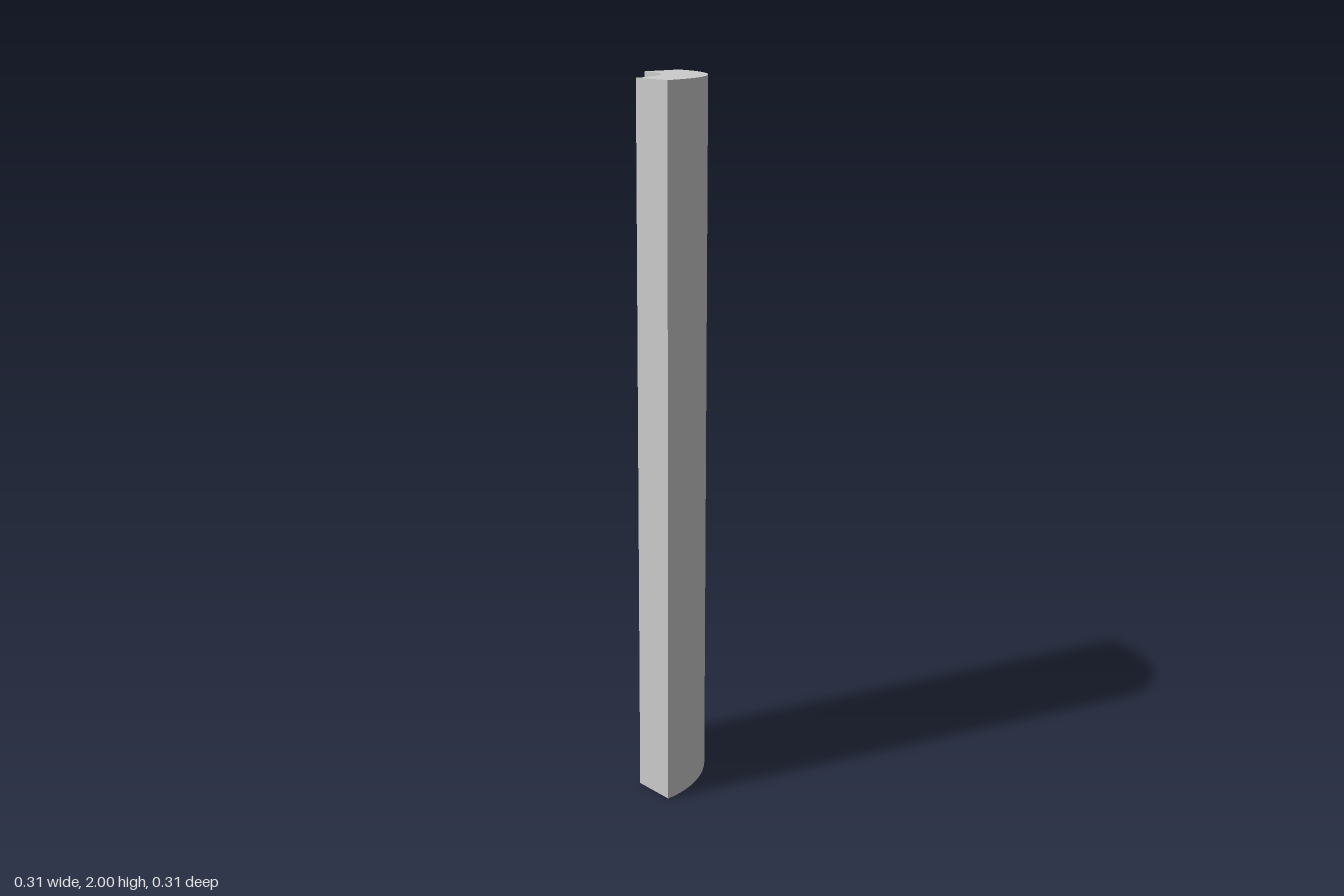
import * as THREE from 'three';
import { toCreasedNormals } from 'three/addons/utils/BufferGeometryUtils.js';

const HEIGHT = 2;
const OUTER = 0.311;
const INNER = 0.187;

export function createModel() {
  const group = new THREE.Group();
  group.name = 'quarterRoundColumn';

  // Quarter-ring cross-section
  const section = new THREE.Shape();
  section.absarc(0, 0, OUTER, -Math.PI / 2, 0, false);
  section.absarc(0, 0, INNER, 0, -Math.PI / 2, true);
  section.closePath();

  // Extrude it upright, smooth along the arcs and sharp at the corners
  const extruded = new THREE.ExtrudeGeometry(section, {
    depth: HEIGHT, bevelEnabled: false, curveSegments: 24,
  });
  extruded.rotateX(-Math.PI / 2);
  extruded.translate(-OUTER / 2, 0, -OUTER / 2);

  const column = new THREE.Mesh(
    toCreasedNormals(extruded, 0.5),
    new THREE.MeshStandardMaterial({ color: 0xcccccc }),
  );
  column.name = 'curvedWallSegment';
  group.add(column);
  return group;
}
